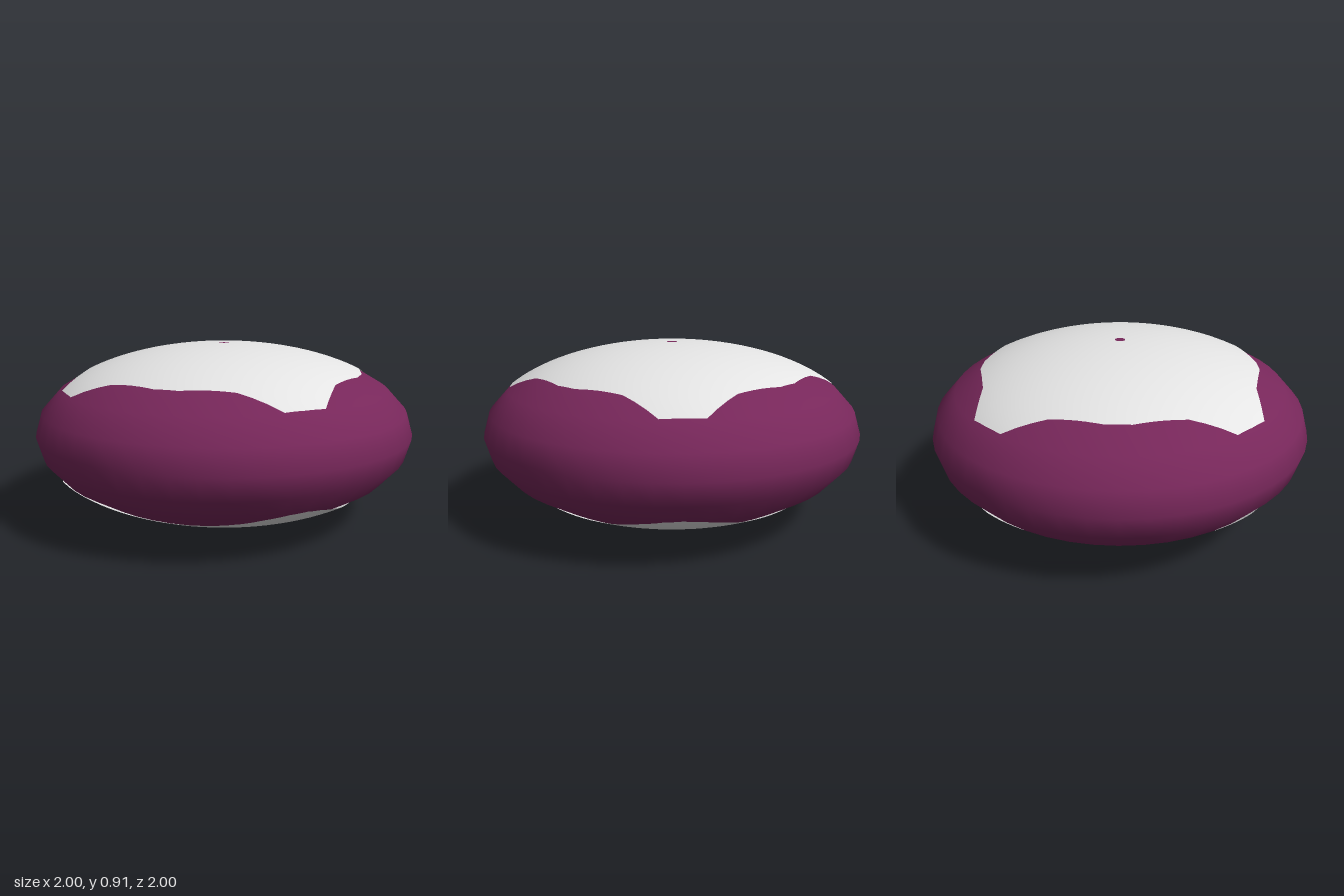
import * as THREE from 'three';

const HALF_HEIGHT = 0.455; // vertical half axis, horizontal half axis is 1
const LIFT = 1.004;        // panels sit just above the body

// Full closed outline from one eighth of it (angles 0 to 45 degrees)
function mirrorOutline(eighth) {
  const back = eighth.slice(0, -1).reverse().map(([x, z]) => [z, x]);
  const quarter = [...eighth, ...back].slice(0, -1);
  const out = [];
  for (let q = 0; q < 4; q++) {
    for (const [x, z] of quarter) {
      out.push([[x, z], [-z, x], [-x, -z], [z, -x]][q]);
    }
  }
  return out;
}

// Curved panel: rings from the small centre hole out to the outline
function panelGeometry(eighth, side) {
  const outline = mirrorOutline(eighth);
  const spokes = [];
  outline.forEach((p, i) => {
    const q = outline[(i + 1) % outline.length];
    for (let k = 0; k < 3; k++) {
      spokes.push([p[0] + (q[0] - p[0]) * k / 3, p[1] + (q[1] - p[1]) * k / 3]);
    }
  });
  const rings = 14, n = spokes.length;
  const pos = [], nor = [], idx = [];
  for (let j = 0; j <= rings; j++) {
    for (const [x, z] of spokes) {
      const a = Math.atan2(z, x);
      const phi = THREE.MathUtils.lerp(0.027, Math.asin(Math.hypot(x, z) / LIFT), j / rings);
      const ux = Math.sin(phi) * Math.cos(a), uz = Math.sin(phi) * Math.sin(a);
      const uy = side * Math.cos(phi);
      pos.push(ux * LIFT, uy * HALF_HEIGHT, uz * LIFT);
      const v = new THREE.Vector3(ux, uy / HALF_HEIGHT, uz).normalize();
      nor.push(v.x, v.y, v.z);
    }
  }
  for (let j = 0; j < rings; j++) {
    for (let i = 0; i < n; i++) {
      const a = j * n + i, b = j * n + (i + 1) % n, c = a + n, d = b + n;
      if (side > 0) idx.push(a, b, c, b, d, c);
      else idx.push(a, c, b, b, c, d);
    }
  }
  const g = new THREE.BufferGeometry();
  g.setAttribute('position', new THREE.Float32BufferAttribute(pos, 3));
  g.setAttribute('normal', new THREE.Float32BufferAttribute(nor, 3));
  g.setIndex(idx);
  return g;
}

export function createModel() {
  const group = new THREE.Group();
  group.name = 'flattenedBall';
  const plum = new THREE.MeshStandardMaterial({ name: 'plum', color: 0x77275a });
  const white = new THREE.MeshStandardMaterial({ name: 'white', color: 0xe4e4e4, side: THREE.DoubleSide });

  const add = (name, geometry, material) => {
    const mesh = new THREE.Mesh(geometry, material);
    mesh.name = name;
    mesh.position.y = HALF_HEIGHT;
    group.add(mesh);
  };

  // Flattened body
  const body = new THREE.SphereGeometry(1, 48, 12);
  body.scale(1, HALF_HEIGHT / LIFT, 1);
  add('body', body, plum);

  // Top panel with chamfered corners and wavy sides
  add('topPanel', panelGeometry(
    [[0.73, 0], [0.73, 0.06], [0.7, 0.18], [0.67, 0.31], [0.675, 0.53], [0.605, 0.605]], 1), white);

  // Bottom panel with rounder corners
  add('bottomPanel', panelGeometry(
    [[0.74, 0], [0.738, 0.15], [0.73, 0.3], [0.715, 0.46], [0.68, 0.56], [0.63, 0.63]], -1), white);

  return group;
}
